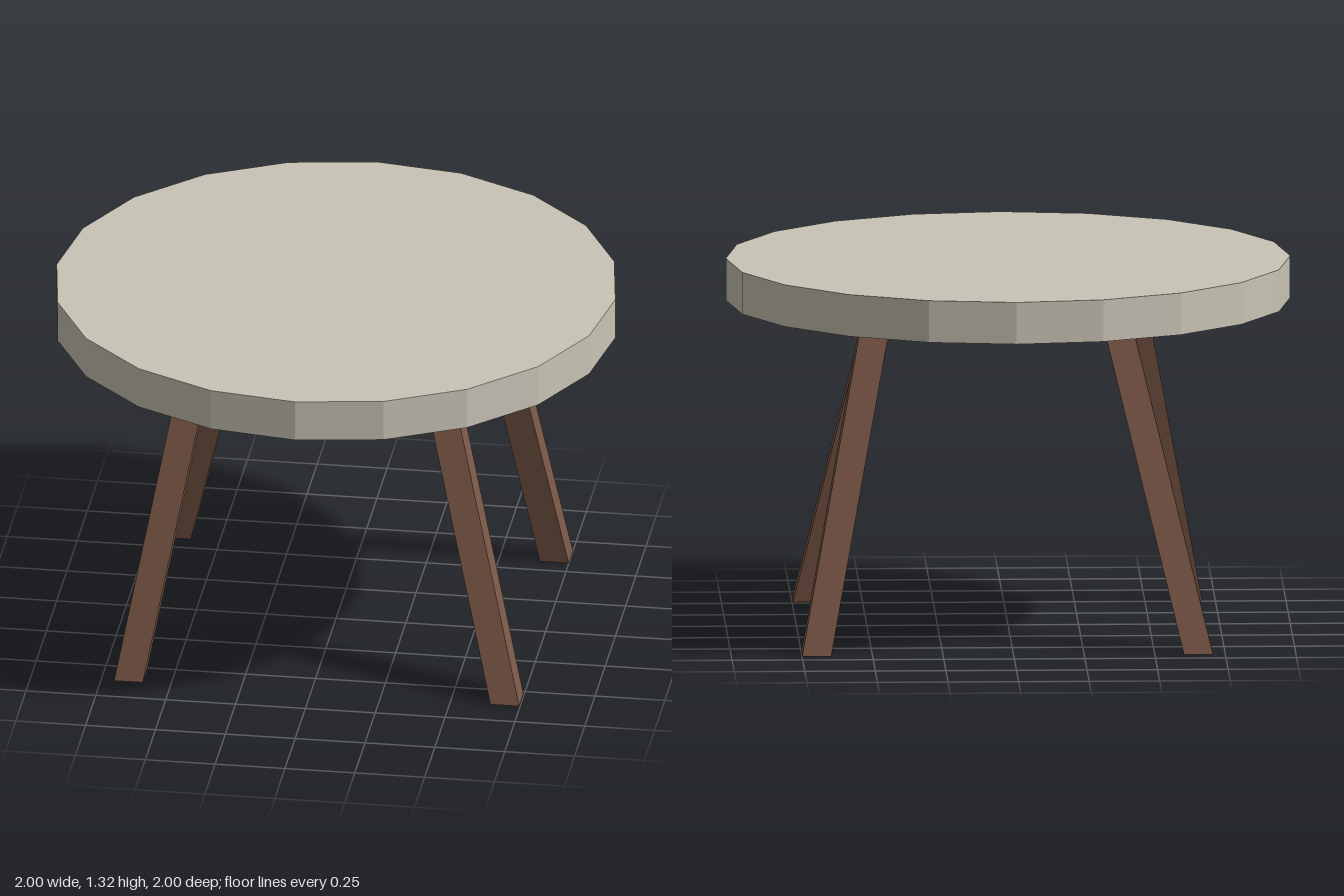
import * as THREE from 'three';

const TOP_UNDERSIDE = 1.17;
const TOP_THICKNESS = 0.15;
const LEG_WIDTH = 0.103;

// A square leg whose ends stay level while it splays from head to foot, both [x, z]
function splayedLeg(head, foot, material) {
  const geometry = new THREE.BoxGeometry(LEG_WIDTH, TOP_UNDERSIDE, LEG_WIDTH);
  geometry.translate(0, TOP_UNDERSIDE / 2, 0);
  const p = geometry.attributes.position;
  for (let i = 0; i < p.count; i++) {
    const t = p.getY(i) / TOP_UNDERSIDE;
    p.setX(i, p.getX(i) + THREE.MathUtils.lerp(foot[0], head[0], t));
    p.setZ(i, p.getZ(i) + THREE.MathUtils.lerp(foot[1], head[1], t));
  }
  geometry.computeVertexNormals();
  return new THREE.Mesh(geometry, material);
}

export function createModel() {
  const model = new THREE.Group();
  model.name = 'roundTable';

  const stone = new THREE.MeshStandardMaterial({ color: 0xc8c3b5, flatShading: true });
  stone.name = 'paleStone';
  const wood = new THREE.MeshStandardMaterial({ color: 0x7d5a48, flatShading: true });
  wood.name = 'brownWood';

  // Twenty-sided table top
  const top = new THREE.Mesh(new THREE.CylinderGeometry(1, 1, TOP_THICKNESS, 20), stone);
  top.name = 'tableTop';
  top.position.y = TOP_UNDERSIDE + TOP_THICKNESS / 2;
  model.add(top);

  // Four legs, slightly off centre and unevenly splayed
  const legs = [
    ['frontLeftLeg', [0.415, 0.355], [0.695, 0.57]],
    ['frontRightLeg', [-0.437, 0.355], [-0.652, 0.57]],
    ['backLeftLeg', [0.48, -0.405], [0.698, -0.622]],
    ['backRightLeg', [-0.37, -0.405], [-0.655, -0.622]],
  ];
  for (const [name, head, foot] of legs) {
    const leg = splayedLeg(head, foot, wood);
    leg.name = name;
    model.add(leg);
  }

  return model;
}
